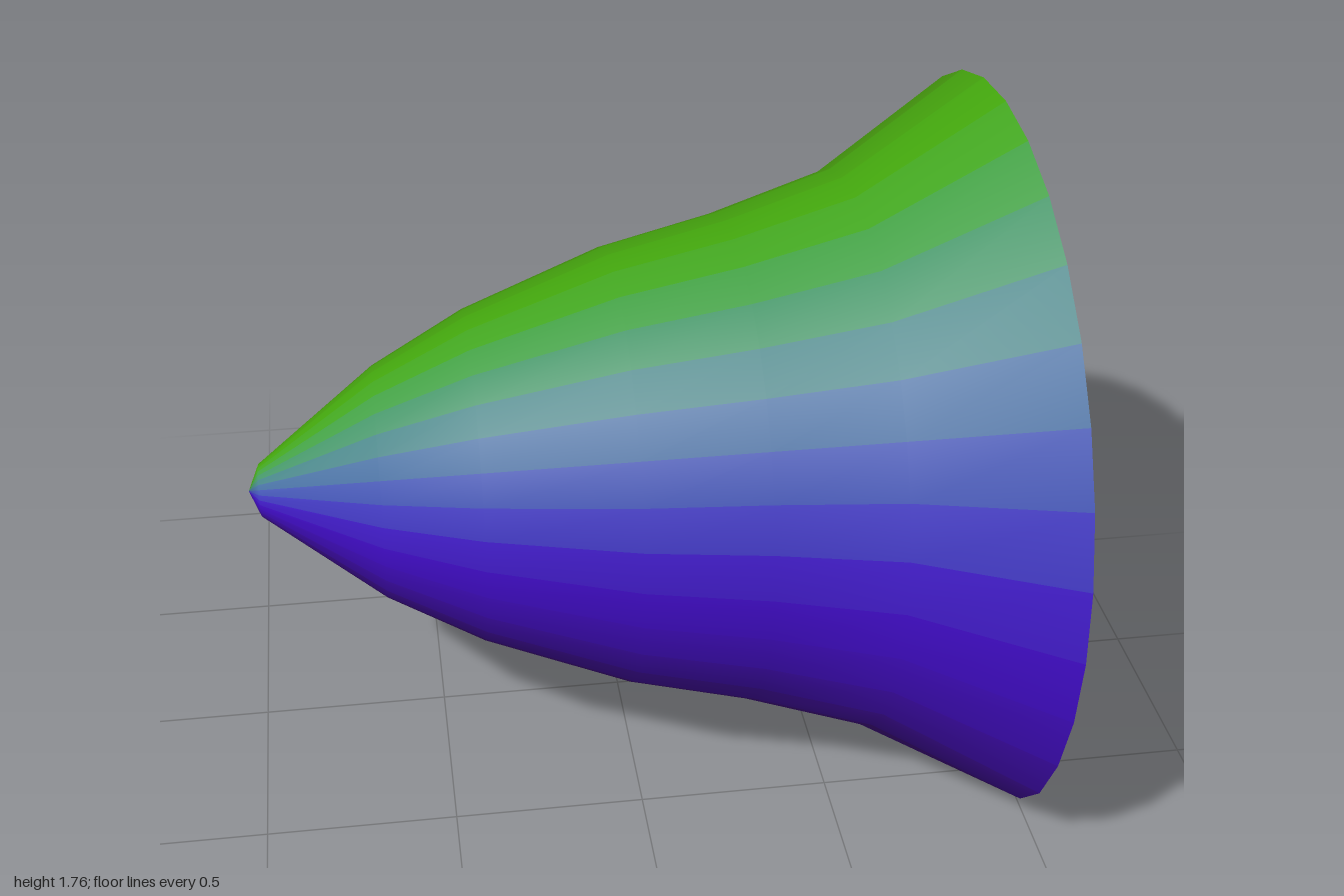
import * as THREE from 'three';
import { mergeVertices } from 'three/addons/utils/BufferGeometryUtils.js';

const SIDES = 32;
const AXIS_Y = 0.766;

// [position along x, radius] from the closed tip to the flared rim
const PROFILE = [
  [-0.985, 0], [-0.955, 0.07], [-0.64, 0.31], [-0.39, 0.445],
  [-0.01, 0.588], [0.3, 0.66], [0.61, 0.757], [0.98, 1],
];

function hornGeometry() {
  let g = new THREE.LatheGeometry(PROFILE.map(([x, r]) => new THREE.Vector2(r, x)), SIDES);
  g.rotateZ(-Math.PI / 2);
  g.translate(0, AXIS_Y, 0);

  // flatten the underside of the rim where it would sink into the ground
  const p = g.attributes.position;
  for (let i = 0; i < p.count; i++) {
    const y = p.getY(i);
    if (p.getX(i) > 0.9 && y < 0.1) p.setY(i, y > 0.03 ? 0.08 : y > -0.1 ? 0.03 : 0.02);
  }

  // weld the seam for smooth shading
  g.deleteAttribute('uv');
  g.deleteAttribute('normal');
  g = mergeVertices(g);
  g.computeVertexNormals();

  // one material group per lengthwise strip
  const perStrip = g.index.count / SIDES;
  for (let i = 0; i < SIDES; i++) g.addGroup(i * perStrip, perStrip, i);
  return g;
}

// green on top, violet blue at the front, dark red behind and below
function stripMaterial(i) {
  const a = ((i + 0.5) / SIDES) * Math.PI * 2;
  const up = Math.max(0, -Math.sin(a));
  const front = Math.max(0, Math.cos(a));
  const color = new THREE.Color().setRGB(0.26, 0.05 + 0.6 * up, 0.05 + 0.75 * front, THREE.SRGBColorSpace);
  return new THREE.MeshStandardMaterial({ color, side: THREE.DoubleSide });
}

export function createModel() {
  const group = new THREE.Group();
  const materials = Array.from({ length: SIDES }, (_, i) => stripMaterial(i));
  const horn = new THREE.Mesh(hornGeometry(), materials);
  horn.name = 'flaredHornShell';
  group.add(horn);
  return group;
}
